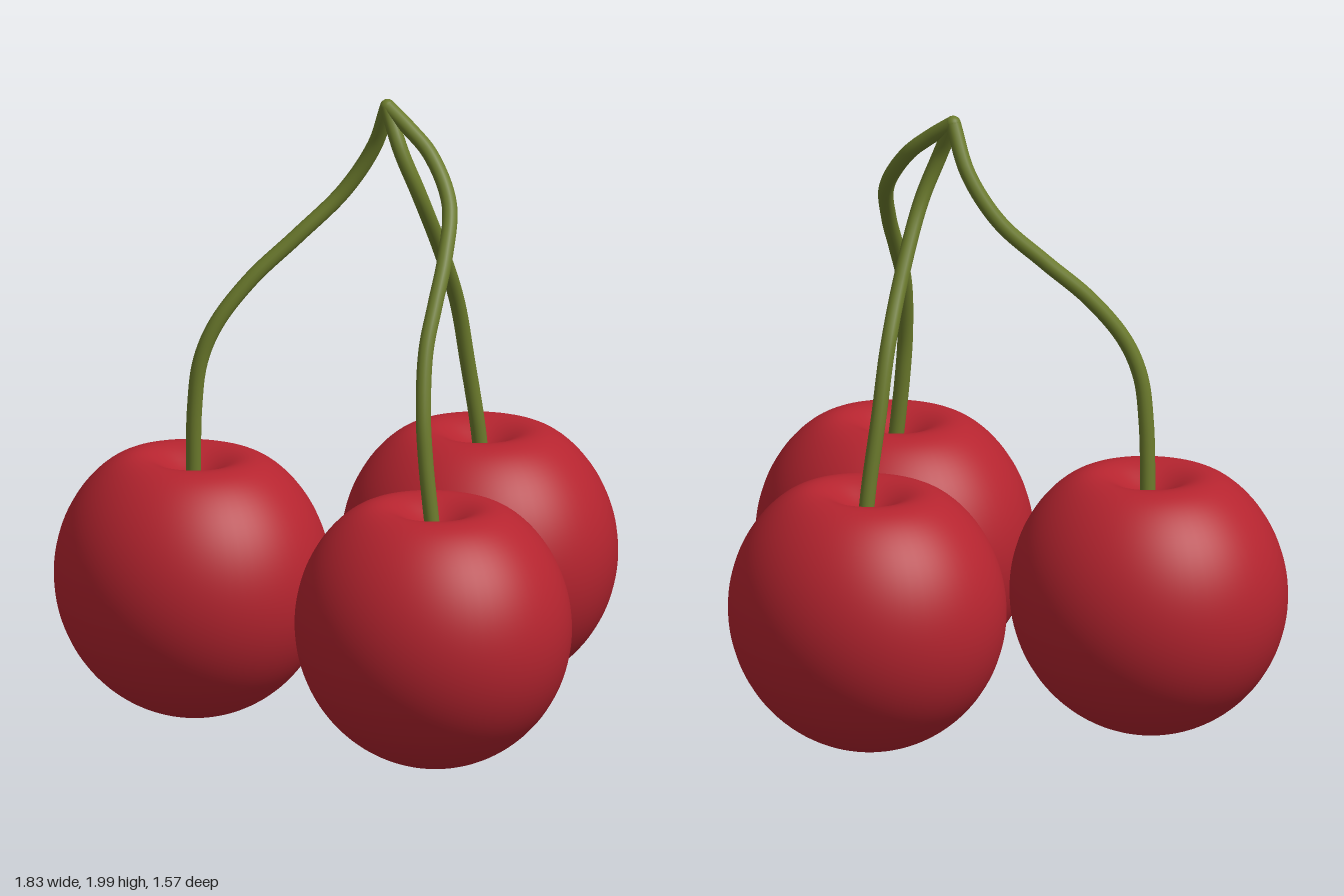
import * as THREE from 'three';

const cherryRed = new THREE.MeshStandardMaterial({ color: 0xb5242f });
cherryRed.name = 'cherry red';
const stemGreen = new THREE.MeshStandardMaterial({ color: 0x6b7a2c });
stemGreen.name = 'stem green';

const STEM_RADIUS = 0.024;

// Round fruit with a soft dimple where the stem enters
function fruitGeometry() {
  const points = [];
  const steps = 64;
  for (let i = 0; i <= steps; i++) {
    const a = (i / steps) * Math.PI;
    const r = i === 0 || i === steps ? 0 : 0.44 * Math.sin(a);
    let y = -0.445 * Math.cos(a);
    if (y > 0) y -= 0.13 * Math.exp(-((r / 0.14) ** 2));
    points.push(new THREE.Vector2(r, y));
  }
  return new THREE.LatheGeometry(points, 64).scale(1, 1, 0.943);
}

// Fruit centres and the stem paths running down from the shared tip
const cherries = [
  {
    name: 'Right',
    centre: [-0.478, 0.455, 0.37],
    stem: [[0, 1.975, 0], [-0.07, 1.83, -0.015], [-0.155, 1.68, 0.03], [-0.25, 1.54, 0.14],
      [-0.34, 1.41, 0.25], [-0.41, 1.27, 0.335], [-0.445, 1.15, 0.37], [-0.462, 1, 0.378], [-0.475, 0.74, 0.37]],
  },
  {
    name: 'Left',
    centre: [0.473, 0.465, 0.312],
    stem: [[0, 1.975, 0], [0.08, 1.92, -0.008], [0.165, 1.85, -0.015], [0.27, 1.72, 0.015], [0.335, 1.58, 0.105],
      [0.37, 1.45, 0.19], [0.395, 1.32, 0.26], [0.43, 1.13, 0.31], [0.448, 0.98, 0.318], [0.473, 0.74, 0.31]],
  },
  {
    name: 'Back',
    centre: [0.045, 0.485, -0.373],
    stem: [[0, 1.975, 0], [0.065, 1.85, 0.012], [0.102, 1.71, -0.03], [0.085, 1.5, -0.15],
      [0.05, 1.3, -0.265], [0.037, 1.1, -0.325], [0.045, 0.88, -0.365], [0.048, 0.76, -0.38]],
  },
];

export function createModel() {
  const group = new THREE.Group();
  group.name = 'cherries';
  const fruit = fruitGeometry();

  for (const { name, centre, stem } of cherries) {
    const body = new THREE.Mesh(fruit, cherryRed);
    body.name = `fruit${name}`;
    body.position.set(...centre);
    group.add(body);

    const curve = new THREE.CatmullRomCurve3(stem.map((p) => new THREE.Vector3(...p)));
    const stalk = new THREE.Mesh(new THREE.TubeGeometry(curve, 64, STEM_RADIUS, 16), stemGreen);
    stalk.name = `stem${name}`;
    group.add(stalk);
  }

  // Rounded joint where the three stems meet
  const joint = new THREE.Mesh(new THREE.SphereGeometry(STEM_RADIUS, 24, 16), stemGreen);
  joint.name = 'stemJoint';
  joint.position.set(0, 1.975, 0);
  group.add(joint);

  return group;
}
